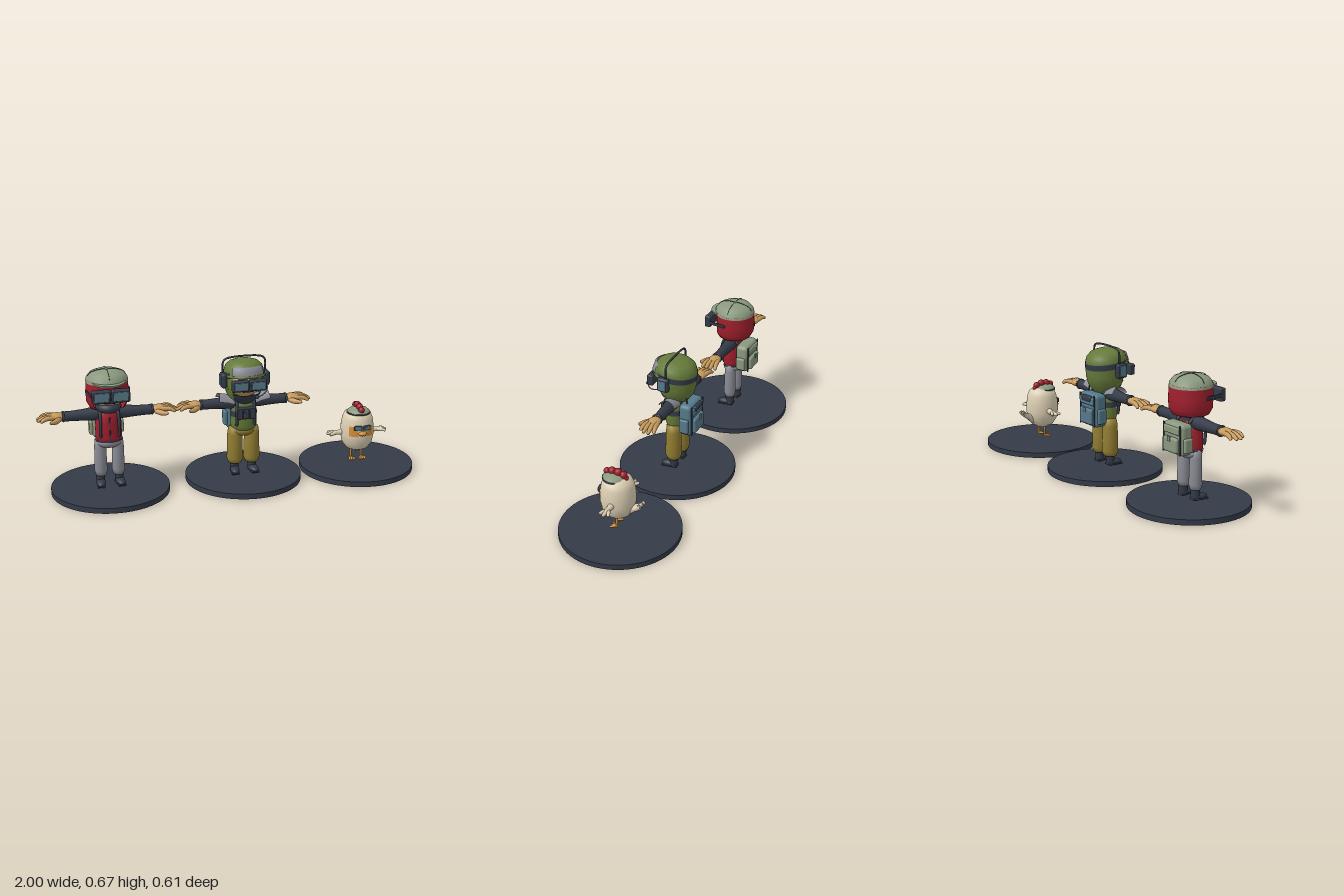
import * as THREE from 'three';
import { RoundedBoxGeometry } from 'three/addons/geometries/RoundedBoxGeometry.js';

const V = (x, y, z) => new THREE.Vector3(x, y, z);
const mat = (name, color) => Object.assign(
  new THREE.MeshStandardMaterial({ color, side: THREE.DoubleSide }), { name });
const M = {
  navy: mat('dark navy', 0x343b48), red: mat('red', 0xa01f2d), sage: mat('sage', 0x8a997f),
  skin: mat('skin', 0xc69a5c), green: mat('olive green', 0x657a3a), mustard: mat('mustard', 0x917d31),
  blue: mat('steel blue', 0x55798a), grey: mat('grey', 0x8a8b95), cream: mat('cream', 0xdccfb3),
  orange: mat('orange', 0xd08c35),
};

function add(parent, name, geo, material, pos = [0, 0, 0], rot = [0, 0, 0], scale = [1, 1, 1]) {
  const m = new THREE.Mesh(geo, material);
  m.name = name;
  m.position.set(...pos); m.rotation.set(...rot); m.scale.set(...scale);
  parent.add(m);
  return m;
}
function group(parent, name, x = 0, y = 0, z = 0) {
  const g = new THREE.Group();
  g.name = name; g.position.set(x, y, z); parent.add(g);
  return g;
}
const ball = () => new THREE.SphereGeometry(1, 32, 20);
const box = (w, h, d, r = 0.01) => new RoundedBoxGeometry(w, h, d, 3, Math.min(r, w / 2.1, h / 2.1, d / 2.1));
// Revolved profile listed bottom to top; half is the half angle, mid its centre (0 = front)
const lathe = (pts, half = Math.PI, mid = 0) => new THREE.LatheGeometry(
  pts.map(p => new THREE.Vector2(...p)), 40, mid - half, half * 2);
// Tube whose radius follows a list of values, closed at both ends
function taper(points, radii, seg = 20) {
  const curve = new THREE.CatmullRomCurve3(points.map(p => V(...p)));
  const geo = new THREE.TubeGeometry(curve, seg, 1, 14);
  const pos = geo.attributes.position, p = V(0, 0, 0);
  for (let i = 0; i < pos.count; i++) {
    const k = Math.floor(i / 15), t = k / seg, f = t * (radii.length - 1);
    const a = Math.min(Math.floor(f), radii.length - 2);
    const r = k === 0 || k === seg ? 0 : THREE.MathUtils.lerp(radii[a], radii[a + 1], f - a);
    const c = curve.getPointAt(t);
    p.fromBufferAttribute(pos, i).sub(c).multiplyScalar(r).add(c);
    pos.setXYZ(i, p.x, p.y, p.z);
  }
  return geo;
}

// Framed goggles with two lenses
function goggles(parent, y, z, w, h, d) {
  const g = group(parent, 'goggles', 0, y, z);
  add(g, 'goggleBridge', box(w * 0.9, h * 0.35, d * 0.8), M.navy);
  for (const s of [-1, 1]) {
    add(g, 'goggleFrame', box(w * 0.49, h, d, 0.008), M.navy, [s * w * 0.255, 0, 0]);
    add(g, 'goggleLens', box(w * 0.39, h * 0.68, 0.005, 0.002), M.blue, [s * w * 0.255, 0, d / 2]);
  }
}

function hand(parent, s) {
  const g = group(parent, 'hand', s * 0.225, 0.42, 0);
  add(g, 'palm', ball(), M.skin, [s * 0.035, 0.003, 0], [0, 0, 0], [0.045, 0.02, 0.033]);
  [-0.033, -0.012, 0.01, 0.03].forEach((z, i) => add(g, 'finger',
    taper([[s * 0.04, 0.005, z * 0.7], [s * 0.09, 0.004, z], [s * (i % 3 ? 0.135 : 0.118), -0.012, z * 1.2]],
      [0.012, 0.0125, 0.011, 0.007], 14), M.skin));
  add(g, 'thumb', taper([[s * 0.015, -0.004, 0.015], [s * 0.045, -0.008, 0.048], [s * 0.075, -0.008, 0.066]],
    [0.014, 0.014, 0.008], 14), M.skin);
}

function backpack(parent, main, h, y) {
  const g = group(parent, 'backpack', 0, y, 0);
  add(g, 'packBody', box(0.15, h, 0.072, 0.022), main, [0, 0, -0.076]);
  add(g, 'packPocket', box(0.105, h * 0.48, 0.032, 0.012), main, [0, -h * 0.18, -0.113]);
  add(g, 'packFlap', box(0.12, h * 0.24, 0.02, 0.008), main, [0, h * 0.28, -0.11]);
  add(g, 'packBuckle', box(0.02, 0.026, 0.006, 0.002), M.grey, [0, h * 0.02, -0.131]);
  for (const s of [-1, 1]) {
    add(g, 'packStrap', box(0.01, h * 0.95, 0.006, 0.002), M.navy, [s * 0.062, 0, -0.112]);
    add(g, 'sidePocket', box(0.022, h * 0.45, 0.05, 0.008), main, [s * 0.078, -h * 0.16, -0.075]);
    // Shoulder strap running over the torso
    add(g, 'shoulderStrap', taper([[s * 0.048, 0.3 - y, 0.048], [s * 0.047, 0.38 - y, 0.054],
      [s * 0.046, 0.44 - y, 0.035], [s * 0.046, 0.455 - y, 0], [s * 0.046, 0.42 - y, -0.05]],
      [0.008, 0.008, 0.008], 24), M.navy);
  }
  return g;
}

// Shared body: shoes, legs, torso, sleeves and hands
function body(parent, top, pants, legR) {
  add(parent, 'torso', lathe([[0, 0.265], [0.058, 0.268], [0.068, 0.3], [0.066, 0.38], [0.062, 0.425],
    [0.04, 0.452], [0, 0.46]]), top, [0, 0, 0.004], [0, 0, 0], [1, 1, 0.78]);
  add(parent, 'hips', ball(), pants, [0, 0.27, 0], [0, 0, 0], [0.068, 0.034, 0.053]);
  add(parent, 'neck', new THREE.CylinderGeometry(0.04, 0.045, 0.06, 24), M.navy, [0, 0.45, 0]);
  for (const s of [-1, 1]) {
    add(parent, 'leg', lathe([[0, 0.088], [legR * 0.8, 0.09], [legR, 0.115], [legR * 0.95, 0.18],
      [legR * 0.92, 0.25], [legR * 0.8, 0.285], [0, 0.3]]), pants, [s * 0.045, 0, 0]);
    add(parent, 'ankle', new THREE.CylinderGeometry(0.024, 0.022, 0.06, 20), M.navy, [s * 0.048, 0.077, -0.002]);
    add(parent, 'shoe', ball(), M.navy, [s * 0.05, 0.054, 0.02], [0.08, s * 0.12, 0], [0.024, 0.017, 0.044]);
    add(parent, 'sole', box(0.042, 0.01, 0.084, 0.004), M.navy, [s * 0.05, 0.043, 0.02], [0, s * 0.12, 0]);
    add(parent, 'sleeve', taper([[s * 0.03, 0.425, 0], [s * 0.08, 0.422, 0], [s * 0.16, 0.42, 0],
      [s * 0.232, 0.42, 0]], [0.036, 0.034, 0.029, 0.026, 0.026]), M.navy);
    add(parent, 'cuff', new THREE.TorusGeometry(0.023, 0.006, 8, 24), M.navy, [s * 0.226, 0.42, 0], [0, Math.PI / 2, 0]);
    hand(parent, s);
  }
}

function hoodedFigure(root) {
  const g = group(root, 'hoodedFigure', -0.64);
  body(g, M.red, M.grey, 0.033);
  backpack(g, M.sage, 0.155, 0.35);
  add(g, 'zip', box(0.006, 0.13, 0.005, 0.002), M.navy, [0, 0.35, 0.056]);
  add(g, 'belt', lathe([[0.068, 0.278], [0.07, 0.287]]), M.navy, [0, 0, 0.004], [0, 0, 0], [1, 1, 0.78]);
  // Face and hood
  add(g, 'face', ball(), M.skin, [0, 0.54, 0.01], [0, 0, 0], [0.092, 0.085, 0.092]);
  add(g, 'beard', ball(), M.navy, [0, 0.467, 0.02], [0, 0, 0], [0.066, 0.036, 0.078]);
  add(g, 'mouth', box(0.06, 0.01, 0.012, 0.005), M.navy, [0, 0.502, 0.09]);
  add(g, 'hood', lathe([[0.045, 0.452], [0.09, 0.46], [0.106, 0.49], [0.108, 0.54], [0.105, 0.605]],
    Math.PI - 0.85, Math.PI), M.red);
  add(g, 'hoodForehead', lathe([[0.104, 0.568], [0.104, 0.605]]), M.red);
  goggles(g, 0.548, 0.121, 0.19, 0.066, 0.034);
  for (const s of [-1, 1]) add(g, 'goggleStrap', box(0.006, 0.018, 0.1, 0.002), M.navy,
    [s * 0.103, 0.548, 0.06], [0, s * -0.15, 0]);
  // Cap with seams and peak
  const cap = group(g, 'cap');
  add(cap, 'capCrown', lathe([[0.107, 0.592], [0.104, 0.612], [0.086, 0.635], [0.05, 0.649], [0, 0.653]]), M.sage);
  add(cap, 'capButton', ball(), M.sage, [0, 0.653, 0], [0, 0, 0], [0.009, 0.005, 0.009]);
  for (const a of [0, Math.PI / 2]) add(cap, 'capSeam', new THREE.TubeGeometry(new THREE.CatmullRomCurve3(
    [[-0.106, 0.6], [-0.086, 0.636], [-0.05, 0.65], [0, 0.654], [0.05, 0.65], [0.086, 0.636], [0.106, 0.6]]
      .map(([x, y]) => V(x, y, 0))), 30, 0.0015, 6), M.navy, [0, 0, 0], [0, a, 0]);
  add(cap, 'capPeak', new THREE.CylinderGeometry(0.085, 0.085, 0.008, 36), M.sage, [0, 0.602, 0.055], [0.06, 0, 0], [1, 1, 0.9]);
}

function soldierFigure(root) {
  const g = group(root, 'soldierFigure', 0.067);
  body(g, M.green, M.mustard, 0.043);
  const pack = backpack(g, M.blue, 0.175, 0.343);
  add(pack, 'packRoll', box(0.08, 0.03, 0.026), M.navy, [0, 0.062, -0.113]);
  add(pack, 'packAerial', new THREE.CylinderGeometry(0.003, 0.004, 0.04, 8), M.navy, [0.04, 0.1, -0.073], [0.1, 0, 0]);
  // Chest rig
  add(g, 'chestRig', box(0.11, 0.065, 0.02), M.navy, [0, 0.375, 0.05]);
  for (const x of [-0.033, 0, 0.033]) add(g, 'pouch', box(0.028, 0.05, 0.018, 0.005), M.navy, [x, 0.37, 0.063]);
  add(g, 'rigBand', lathe([[0.07, 0.35], [0.069, 0.38]]), M.navy, [0, 0, 0.004], [0, 0, 0], [1, 1, 0.78]);
  for (const s of [-1, 1]) add(g, 'shoulderPad', new THREE.CylinderGeometry(0.046, 0.046, 0.08, 24, 1, true,
    Math.PI / 2 - 1.3, 2.6), M.grey, [s * 0.1, 0.42, -0.004], [0, 0, Math.PI / 2 + s * 0.2]);
  // Head under the helmet
  add(g, 'face', ball(), M.skin, [0, 0.54, 0.012], [0, 0, 0], [0.09, 0.085, 0.088]);
  add(g, 'faceMask', lathe([[0.042, 0.42], [0.075, 0.45], [0.09, 0.482]], 0.95), M.navy, [0, 0, 0.006]);
  add(g, 'mouth', box(0.06, 0.01, 0.012, 0.005), M.navy, [0, 0.503, 0.09]);
  add(g, 'headHood', lathe([[0.035, 0.415], [0.06, 0.43], [0.088, 0.468], [0.1, 0.515], [0.1, 0.58]],
    Math.PI - 0.85, Math.PI), M.green);
  // Helmet, tilted back
  const h = group(g, 'helmet', 0, 0.57, 0.008);
  h.rotation.x = -0.12;
  add(h, 'helmetDome', lathe([[0.104, 0], [0.103, 0.025], [0.094, 0.052], [0.073, 0.071], [0.04, 0.081], [0, 0.083]]),
    M.green, [0, 0, 0], [0, 0, 0], [1, 1, 1.06]);
  add(h, 'helmetNape', lathe([[0.099, -0.07], [0.104, -0.04], [0.104, 0.002]], Math.PI - 1.2, Math.PI),
    M.green, [0, 0, 0], [0, 0, 0], [1, 1, 1.06]);
  add(h, 'helmetBand', lathe([[0.106, -0.008], [0.1055, 0.022]], Math.PI - 1, Math.PI), M.navy, [0, 0, 0], [0, 0, 0], [1, 1, 1.06]);
  add(h, 'helmetRim', lathe([[0.1, -0.002], [0.112, -0.003], [0.105, 0.008]], 1.2), M.green, [0, 0, 0], [0, 0, 0], [1, 1, 1.08]);
  add(h, 'helmetVisor', lathe([[0.104, 0.006], [0.112, 0.01], [0.105, 0.045], [0.094, 0.052]], 0.85), M.grey,
    [0, 0, 0.002], [0, 0, 0], [1, 1, 1.06]);
  goggles(g, 0.542, 0.112, 0.18, 0.058, 0.034);
  // Headset
  const hs = group(g, 'headset');
  for (const s of [-1, 1]) {
    add(hs, 'earCup', box(0.03, 0.076, 0.062, 0.012), M.navy, [s * 0.113, 0.552, 0.023]);
    add(hs, 'earCupPanel', box(0.006, 0.054, 0.04, 0.002), M.blue, [s * 0.128, 0.552, 0.023]);
  }
  add(hs, 'headband', taper([[-0.112, 0.57, 0.01], [-0.11, 0.645, 0.01], [-0.095, 0.66, 0.01], [0, 0.669, 0.01],
    [0.095, 0.66, 0.01], [0.11, 0.645, 0.01], [0.112, 0.57, 0.01]], [0.005, 0.005], 50), M.navy);
  add(hs, 'micArm', taper([[0.118, 0.522, 0.045], [0.1, 0.503, 0.09], [0.07, 0.492, 0.125], [0.035, 0.49, 0.152]],
    [0.003, 0.003]), M.grey);
  add(hs, 'micTip', ball(), M.navy, [0.032, 0.49, 0.154], [0, 0, 0], [0.01, 0.008, 0.008]);
}

function hen(root) {
  const g = group(root, 'hen', 0.695);
  add(g, 'henBody', lathe([[0, 0.096], [0.03, 0.1], [0.06, 0.117], [0.08, 0.147], [0.0885, 0.19], [0.087, 0.24],
    [0.081, 0.28], [0.07, 0.307], [0.045, 0.325], [0, 0.332]]), M.cream, [0, 0, 0.006]);
  // Tail and wing feathers
  for (const k of [-1, 0, 1]) add(g, 'tailFeather', taper([[0, 0.155, -0.03], [k * 0.006, 0.165, -0.08],
    [k * 0.014, 0.18, -0.108], [k * 0.026, 0.204 - Math.abs(k) * 0.006, -0.125]], [0.042, 0.034, 0.016, 0.012, 0.009]), M.cream);
  for (const s of [-1, 1]) {
    add(g, 'wing', taper([[s * 0.07, 0.203, 0], [s * 0.1, 0.2, 0], [s * 0.135, 0.2, 0]], [0.02, 0.013, 0.012]), M.cream);
    for (const k of [-1, 0, 1]) add(g, 'wingFeather', taper([[s * 0.11, 0.2, 0], [s * 0.135, 0.199, k * 0.014],
      [s * (0.17 - Math.abs(k) * 0.012), 0.197, k * 0.026]], [0.008, 0.01, 0.007], 12), M.cream);
    // Cheek patch, glasses, legs and toes
    add(g, 'cheekPatch', lathe([[0.0895, 0.197], [0.0885, 0.24], [0.087, 0.252]], 0.28, s * 0.56), M.orange, [0, 0, 0.006]);
    add(g, 'glassesFrame', box(0.044, 0.026, 0.012, 0.005), M.navy, [s * 0.024, 0.245, 0.09], [0, s * 0.2, 0]);
    add(g, 'glassesLens', box(0.034, 0.018, 0.004, 0.0015), M.blue, [s * 0.0252, 0.245, 0.0965], [0, s * 0.2, 0]);
    add(g, 'henLeg', new THREE.CylinderGeometry(0.006, 0.006, 0.065, 12), M.orange, [s * 0.03, 0.078, 0.002]);
    for (const k of [-1, 0, 1]) add(g, 'toe', taper([[s * 0.03, 0.052, 0], [s * 0.03 + k * 0.01, 0.051, 0.017],
      [s * 0.03 + k * 0.017, 0.046, 0.034]], [0.006, 0.007, 0.005], 10), M.orange);
  }
  add(g, 'beak', ball(), M.orange, [0, 0.215, 0.09], [0, 0, 0], [0.024, 0.013, 0.022]);
  // Cap and comb
  add(g, 'henCap', lathe([[0.061, 0.312], [0.059, 0.323], [0.044, 0.335], [0, 0.343]]), M.sage, [0, 0, 0.02]);
  add(g, 'henCapRim', new THREE.TorusGeometry(0.06, 0.004, 8, 40), M.navy, [0, 0.314, 0.02], [Math.PI / 2, 0, 0]);
  [[0.062, 0.336, 0.018], [0.035, 0.345, 0.02], [0.002, 0.346, 0.021], [-0.026, 0.338, 0.02], [-0.038, 0.324, 0.014]]
    .forEach(([z, y, r]) => add(g, 'comb', ball(), M.red, [0, y, z], [0, 0, 0], [r * 0.9, r, r]));
}

export function createModel() {
  const root = new THREE.Group();
  root.name = 'figureSet';
  for (const x of [-0.638, 0.067, 0.695]) add(root, 'standDisc',
    new THREE.CylinderGeometry(0.304, 0.304, 0.028, 64), M.navy, [x, 0.014, 0]);
  hoodedFigure(root);
  soldierFigure(root);
  hen(root);
  return root;
}
